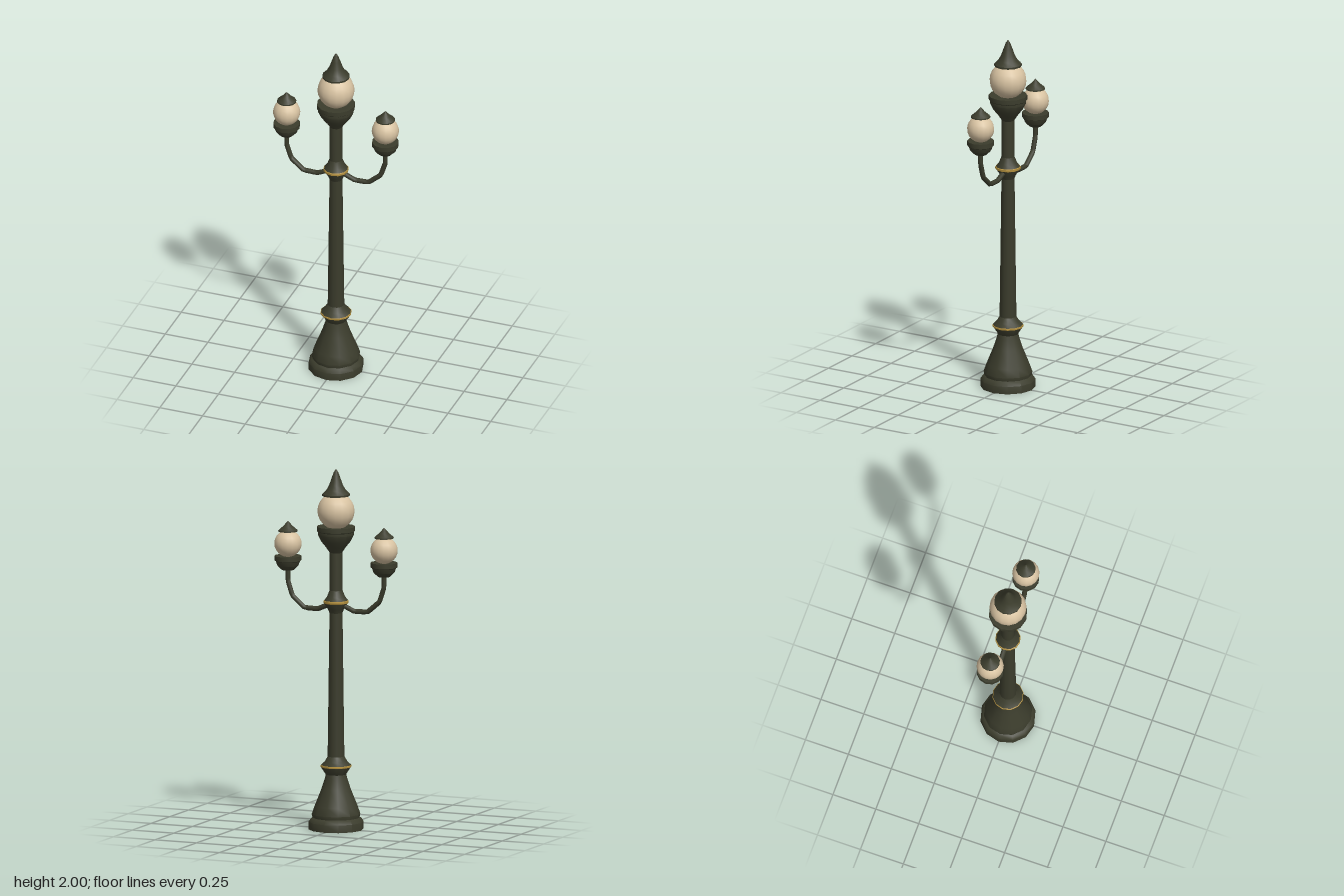
import * as THREE from 'three';
import { toCreasedNormals } from 'three/addons/utils/BufferGeometryUtils.js';

const SIDES = 12;

export function createModel() {
  const model = new THREE.Group();
  model.name = 'streetLamp';

  const iron = new THREE.MeshStandardMaterial({ color: 0x3b3c2c });
  iron.name = 'darkIron';
  const glass = new THREE.MeshStandardMaterial({ color: 0xd8c3a2 });
  glass.name = 'warmGlass';
  const gold = new THREE.MeshStandardMaterial({ color: 0xb08d3c });
  gold.name = 'goldTrim';

  function add(parent, name, geometry, material) {
    const mesh = new THREE.Mesh(geometry, material);
    mesh.name = name;
    parent.add(mesh);
    return mesh;
  }

  // Turned part from [radius, height] pairs, bottom to top
  function turned(parent, name, profile, material) {
    const points = profile.map(([r, y]) => new THREE.Vector2(r, y));
    const geometry = toCreasedNormals(new THREE.LatheGeometry(points, SIDES), 0.6);
    return add(parent, name, geometry, material);
  }

  function globe(parent, name, radius, y) {
    add(parent, name, new THREE.SphereGeometry(radius, 16, 12), glass).position.y = y;
  }

  // Pedestal
  turned(model, 'base', [
    [0, 0], [0.152, 0], [0.152, 0.042], [0.138, 0.062], [0.13, 0.066],
    [0.134, 0.085], [0.118, 0.13], [0.08, 0.225], [0.062, 0.28], [0.055, 0.31], [0, 0.31],
  ], iron);

  // Column
  turned(model, 'column', [[0.046, 0.29], [0.046, 0.42], [0.036, 1.2], [0.035, 1.56]], iron);

  // Collars with a gold band round the widest line
  turned(model, 'lowerCollar', [
    [0.04, 0.3], [0.056, 0.303], [0.083, 0.344], [0.083, 0.356], [0.063, 0.375], [0.045, 0.405],
  ], iron);
  turned(model, 'lowerBand', [[0.08, 0.343], [0.086, 0.346], [0.086, 0.354], [0.08, 0.358]], gold);
  turned(model, 'upperCollar', [
    [0.036, 1.2], [0.044, 1.22], [0.067, 1.255], [0.067, 1.269], [0.05, 1.29], [0.036, 1.325],
  ], iron);
  turned(model, 'upperBand', [[0.065, 1.253], [0.07, 1.256], [0.07, 1.267], [0.065, 1.271]], gold);

  // Central lantern
  turned(model, 'mainCup', [
    [0.035, 1.535], [0.055, 1.565], [0.082, 1.598], [0.1, 1.635],
    [0.1, 1.65], [0.106, 1.655], [0.106, 1.68], [0.075, 1.68], [0, 1.668],
  ], iron);
  globe(model, 'mainGlobe', 0.102, 1.766);
  turned(model, 'mainCap', [
    [0, 1.85], [0.076, 1.85], [0.076, 1.86], [0.054, 1.882], [0.038, 1.91],
    [0.024, 1.95], [0.012, 1.982], [0, 2],
  ], iron);

  // Side arms and lanterns
  for (const side of [1, -1]) {
    const group = new THREE.Group();
    group.name = side > 0 ? 'leftArm' : 'rightArm';
    model.add(group);

    const path = new THREE.CurvePath();
    const bends = [[0.03, 1.25], [0.11, 1.215], [0.19, 1.217], [0.262, 1.278], [0.289, 1.36], [0.289, 1.44]]
      .map(([x, y]) => new THREE.Vector3(side * x, y, 0));
    for (let i = 1; i < bends.length; i++) path.add(new THREE.LineCurve3(bends[i - 1], bends[i]));
    add(group, 'arm', new THREE.TubeGeometry(path, 20, 0.014, 8), iron);

    const lantern = new THREE.Group();
    lantern.name = 'sideLantern';
    lantern.position.x = side * 0.289;
    group.add(lantern);
    turned(lantern, 'sideCup', [
      [0, 1.42], [0.034, 1.42], [0.058, 1.443], [0.067, 1.468],
      [0.074, 1.472], [0.074, 1.498], [0.052, 1.498], [0, 1.492],
    ], iron);
    globe(lantern, 'sideGlobe', 0.075, 1.566);
    turned(lantern, 'sideCap', [
      [0, 1.633], [0.054, 1.633], [0.053, 1.64], [0.027, 1.662], [0, 1.692],
    ], iron);
  }

  return model;
}
